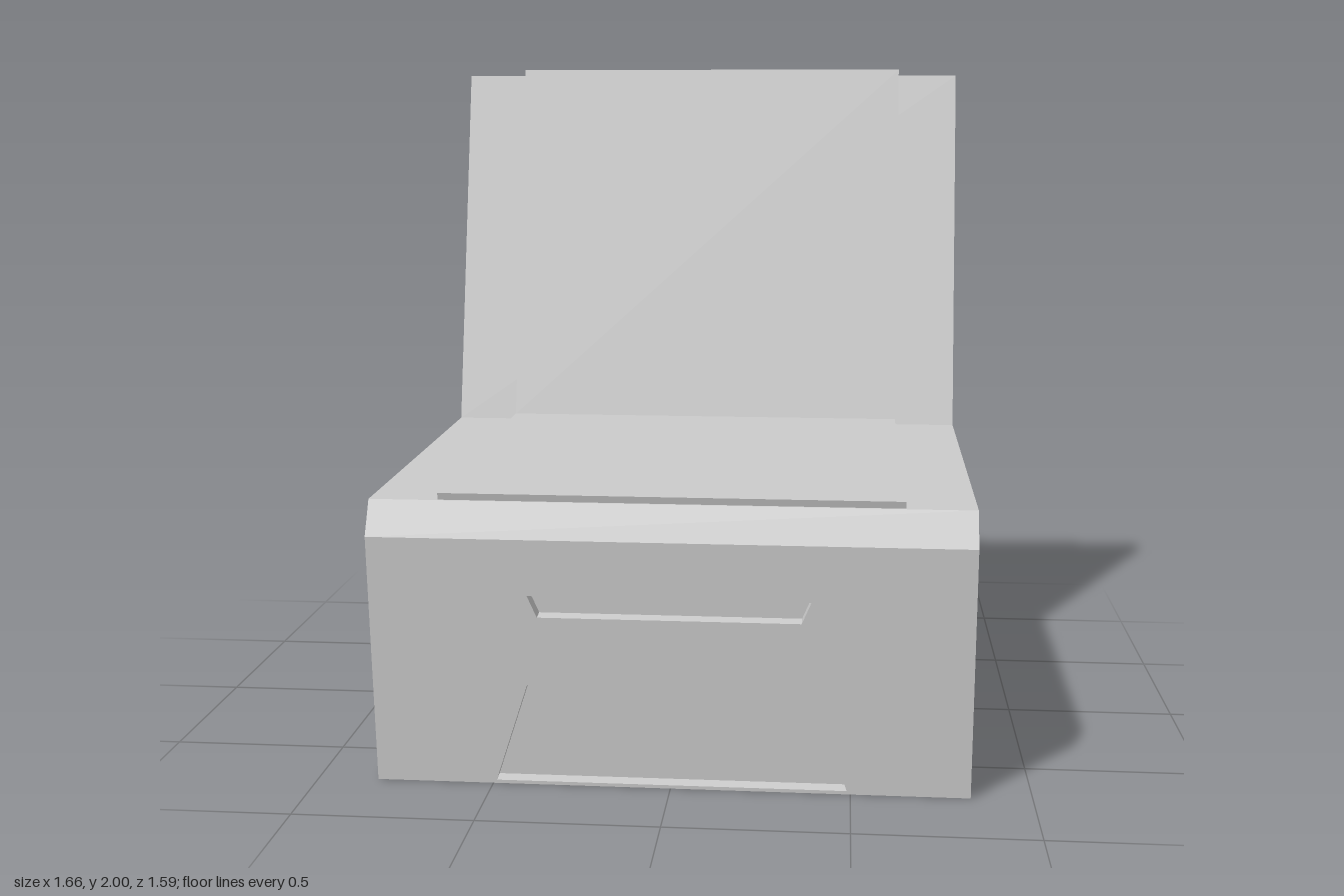
import * as THREE from 'three';

const W = 1.66;        // overall width
const DEPTH = 0.04;    // depth of the moulded recesses
const material = new THREE.MeshStandardMaterial({ color: 0xcccccc, flatShading: true });

const polygon = (points) => points.map(([a, b]) => new THREE.Vector2(a, b));

function addMesh(group, name, geometry) {
  const mesh = new THREE.Mesh(geometry, material);
  mesh.name = name;
  group.add(mesh);
  return mesh;
}

// Side profile given as [z, y], swept across the width
function sweep(points, width) {
  const geometry = new THREE.ExtrudeGeometry(new THREE.Shape(polygon(points)), { depth: width, bevelEnabled: false });
  return geometry.rotateY(-Math.PI / 2).translate(width / 2, 0, 0);
}

// Symmetric trapezoid opening
const trapezoid = (y0, half0, y1, half1) =>
  new THREE.Path(polygon([[-half0, y0], [-half1, y1], [half1, y1], [half0, y0]]));

// Leaning facing sheet between two [z, y] points, with openings cut in it
function facing([z0, y0], [z1, y1], holes) {
  const length = Math.hypot(z1 - z0, y1 - y0);
  const shape = new THREE.Shape(polygon([[-W / 2, 0], [W / 2, 0], [W / 2, length], [-W / 2, length]]));
  shape.holes.push(...holes);
  return new THREE.ExtrudeGeometry(shape, { depth: DEPTH, bevelEnabled: false })
    .translate(0, 0, -DEPTH)
    .rotateX(Math.atan2(z1 - z0, y1 - y0))
    .translate(0, y0, z0);
}

// Moves the two ends of a facing line back by the recess depth
function inset([z0, y0], [z1, y1]) {
  const length = Math.hypot(z1 - z0, y1 - y0);
  const dz = -DEPTH * (y1 - y0) / length;
  const dy = DEPTH * (z1 - z0) / length;
  return [[z0 + dz, y0 + dy], [z1 + dz, y1 + dy]];
}

export function createModel() {
  const group = new THREE.Group();
  group.name = 'chair';

  const front = [[0.735, 0], [0.8, 0.72]];
  const rear = [[-0.485, 0.015], [-0.555, 0.545]];
  const [frontLow, frontHigh] = inset(...front);
  const [rearLow, rearHigh] = inset(...rear);

  // Folded shell: front leg, seat, backrest and rear leg in one profile
  addMesh(group, 'shell', sweep([
    [0.63, 0], frontLow, frontHigh, front[1],
    [0.75, 0.815], [-0.434, 0.83],
    [-0.714, 1.98], [-0.794, 1.965],
    [-0.577, 0.015], rearLow, rearHigh, rear[1],
    [-0.738, 1.815], [-0.726, 1.838], [-0.714, 1.83],
    [-0.475, 0.624], [0.645, 0.617], [0.692, 0.54],
  ], W));

  // Raised pad along seat and backrest
  addMesh(group, 'raisedPad', sweep([
    [0.75, 0.835], [-0.418, 0.85], [-0.7, 2], [-0.794, 1.975],
    [-0.794, 1.965], [-0.73, 1.95], [-0.45, 0.8], [0.74, 0.8],
  ], 1.276));

  // Front leg facing with slot and foot recess
  addMesh(group, 'frontLegFacing', facing(...front, [
    trapezoid(0.5, 0.362, 0.562, 0.388),
    trapezoid(0.01, 0.49, 0.3, 0.395),
  ]));

  // Rear leg facing with matching recess
  addMesh(group, 'rearLegFacing', facing(...rear, [
    trapezoid(0.01, 0.49, 0.29, 0.395),
  ]));

  return group;
}
